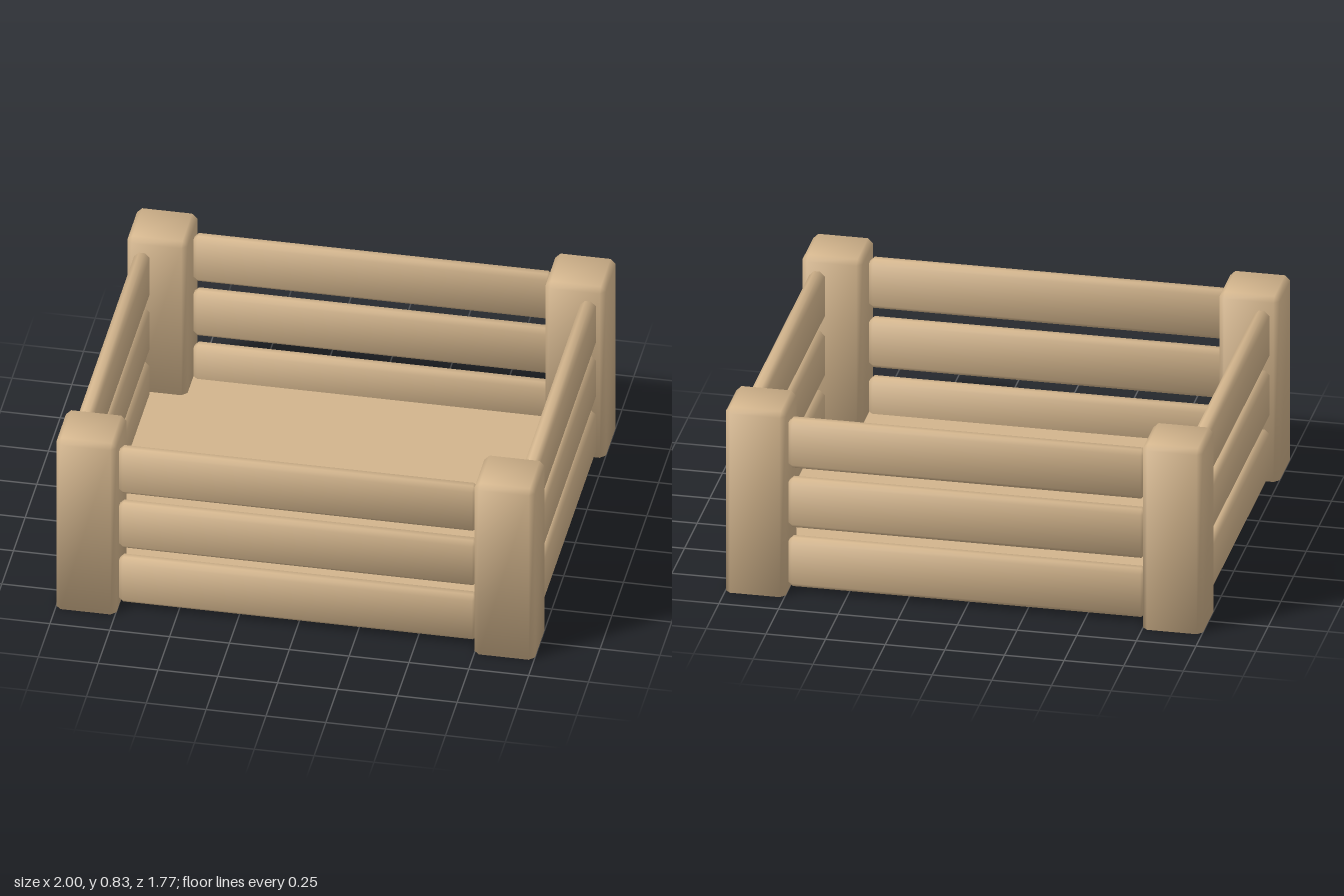
import * as THREE from 'three';
import { mergeVertices } from 'three/addons/utils/BufferGeometryUtils.js';

const wood = new THREE.MeshStandardMaterial({ color: 0xd2b48c, side: THREE.DoubleSide });

// Soft shading: every triangle counts equally, so narrow chamfers bend the normals
function softNormals(geo) {
  const pos = geo.attributes.position, index = geo.index.array;
  const sums = Array.from({ length: pos.count }, () => new THREE.Vector3());
  const p = [0, 1, 2].map(() => new THREE.Vector3());
  const n = new THREE.Vector3();
  for (let i = 0; i < index.length; i += 3) {
    p.forEach((v, k) => v.fromBufferAttribute(pos, index[i + k]));
    n.crossVectors(p[1].clone().sub(p[0]), p[2].clone().sub(p[0])).normalize();
    for (let k = 0; k < 3; k++) sums[index[i + k]].add(n);
  }
  const out = sums.flatMap((v) => v.normalize().toArray());
  geo.setAttribute('normal', new THREE.Float32BufferAttribute(out, 3));
  return geo;
}

// Box standing on y = 0 with chamfered edges; the bottom edge may stay square
function chamferedBox(w, h, d, c, chamferBottom) {
  const levels = [[c, 0], [h - c, 0], [h, c]];
  if (chamferBottom) levels.unshift([0, c]);
  else levels[0][0] = 0;
  const positions = [], index = [];
  for (const [y, inset] of levels) {
    const hw = w / 2 - inset, hd = d / 2 - inset, x = w / 2 - c, z = d / 2 - c;
    for (const [px, pz] of [[hw, -z], [hw, z], [x, hd], [-x, hd], [-hw, z], [-hw, -z], [-x, -hd], [x, -hd]])
      positions.push(px, y, pz);
  }
  const last = (levels.length - 1) * 8;
  for (let i = 0; i < last; i += 8)
    for (let j = 0; j < 8; j++) {
      const a = i + j, b = i + (j + 1) % 8;
      index.push(a, a + 8, b, b, a + 8, b + 8);
    }
  for (let k = 1; k < 7; k++) {
    index.push(0, k, k + 1);
    index.push(last, last + k + 1, last + k);
  }
  const geo = new THREE.BufferGeometry();
  geo.setAttribute('position', new THREE.Float32BufferAttribute(positions, 3));
  geo.setIndex(index);
  return softNormals(mergeVertices(geo));
}

export function createModel() {
  const model = new THREE.Group();
  model.name = 'woodenCrate';
  const add = (name, geo, x, y, z, turn = 0) => {
    const mesh = new THREE.Mesh(geo, wood);
    mesh.name = name;
    mesh.position.set(x, y, z);
    mesh.rotation.y = turn;
    model.add(mesh);
  };

  // Corner posts
  const post = chamferedBox(0.252, 0.83, 0.252, 0.022, false);
  for (const sx of [-1, 1])
    for (const sz of [-1, 1]) add('cornerPost', post, sx * 0.874, 0, sz * 0.76);

  // Three slats on each of the four sides
  const longSlat = chamferedBox(1.5, 0.22, 0.065, 0.02, true);
  const shortSlat = chamferedBox(1.28, 0.22, 0.065, 0.02, true);
  for (const y of [0.02, 0.287, 0.555])
    for (const s of [-1, 1]) {
      add(s > 0 ? 'frontSlat' : 'backSlat', longSlat, 0, y, s * 0.798);
      add(s > 0 ? 'leftSlat' : 'rightSlat', shortSlat, s * 0.932, y, 0, Math.PI / 2);
    }

  // Thin floor panel
  add('floor', new THREE.PlaneGeometry(1.86, 1.59).rotateX(-Math.PI / 2), 0, 0.085, 0);
  return model;
}
